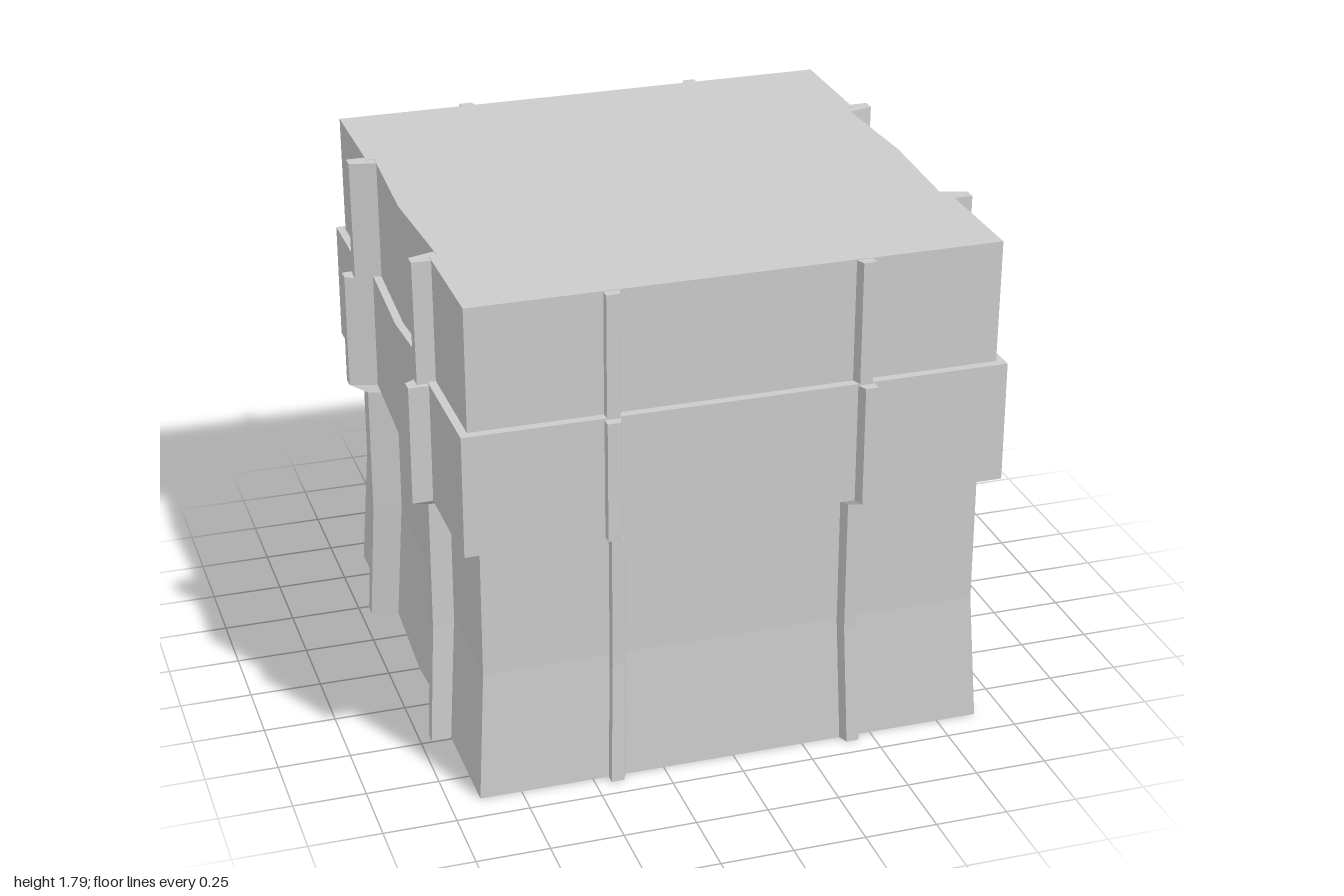
import * as THREE from 'three';

const material = new THREE.MeshStandardMaterial({ color: 0xcccccc, flatShading: true });

// Closed loft through rings of [x, y, z], each counter-clockwise from above
function loft(rings) {
  const pos = [];
  const tri = (a, b, c) => pos.push(...a, ...b, ...c);
  const n = rings[0].length;
  for (let r = 0; r < rings.length - 1; r++) {
    const lo = rings[r], hi = rings[r + 1];
    for (let i = 0; i < n; i++) {
      const j = (i + 1) % n;
      tri(lo[i], lo[j], hi[j]);
      tri(lo[i], hi[j], hi[i]);
    }
  }
  const top = rings[rings.length - 1], bottom = rings[0];
  const faces = THREE.ShapeUtils.triangulateShape(top.map(p => new THREE.Vector2(p[0], -p[2])), []);
  for (const [a, b, c] of faces) {
    tri(top[a], top[b], top[c]);
    tri(bottom[c], bottom[b], bottom[a]);
  }
  const geometry = new THREE.BufferGeometry();
  geometry.setAttribute('position', new THREE.Float32BufferAttribute(pos, 3));
  geometry.computeVertexNormals();
  return geometry;
}

function addMesh(parent, name, rings) {
  const mesh = new THREE.Mesh(loft(rings), material);
  mesh.name = name;
  parent.add(mesh);
}

// Heights with the block's half width (x) and half depth (z)
const BODY = [
  [0, 0.893, 0.895], [0.46, 0.866, 0.871], [0.91, 0.866, 0.871], [0.935, 0.93, 0.928],
  [1.36, 0.93, 0.928], [1.36, 0.902, 0.897], [1.787, 0.904, 0.899],
];

// Heights with rib reach in x and z, then rib centre along z (side ribs) and x (front ribs)
const RIB = [
  [0, 0.962, 0.93, 0.471, 0.423], [0.44, 0.94, 0.907, 0.459, 0.41],
  [0.91, 0.94, 0.907, 0.459, 0.41], [0.935, 1, 0.963, 0.488, 0.438],
  [1.355, 1, 0.963, 0.488, 0.438], [1.355, 0.966, 0.93, 0.468, 0.43],
  [1.785, 0.97, 0.931, 0.468, 0.43],
];

// Block outline: side walls step in between the ribs and swell gently at the middle
function bodyRing([y, x, z]) {
  const k = 0.46;
  const half = [[x, z], [x, k], [x - 0.028, k], [x - 0.006, 0], [x - 0.028, -k], [x, -k], [x, -z]];
  return [...half, ...half.map(([a, b]) => [-a, -b])].map(([a, b]) => [a, y, b]);
}

// Ribs have a straight outer flank and an inner flank that flares toward the wall
function sideRibRing([y, reach, , c]) {
  const root = reach - 0.1;
  return [[reach, y, c + 0.022], [reach, y, c - 0.022], [root, y, c - 0.052], [root, y, c + 0.022]];
}

function frontRibRing([y, , reach, , c]) {
  const root = reach - 0.06;
  return [[c + 0.022, y, reach], [c + 0.022, y, root], [c - 0.045, y, root], [c - 0.022, y, reach]];
}

function mirrored(ring, sx, sz) {
  const out = ring.map(([x, y, z]) => [x * sx, y, z * sz]);
  return sx * sz < 0 ? out.reverse() : out;
}

export function createModel() {
  const model = new THREE.Group();
  model.name = 'bandedBlock';
  addMesh(model, 'body', BODY.map(bodyRing));

  // Two ribs on each of the four walls
  for (const sx of [1, -1]) {
    for (const sz of [1, -1]) {
      addMesh(model, sx > 0 ? 'leftRib' : 'rightRib', RIB.map(l => mirrored(sideRibRing(l), sx, sz)));
      addMesh(model, sz > 0 ? 'frontRib' : 'backRib', RIB.map(l => mirrored(frontRibRing(l), sx, sz)));
    }
  }
  return model;
}
